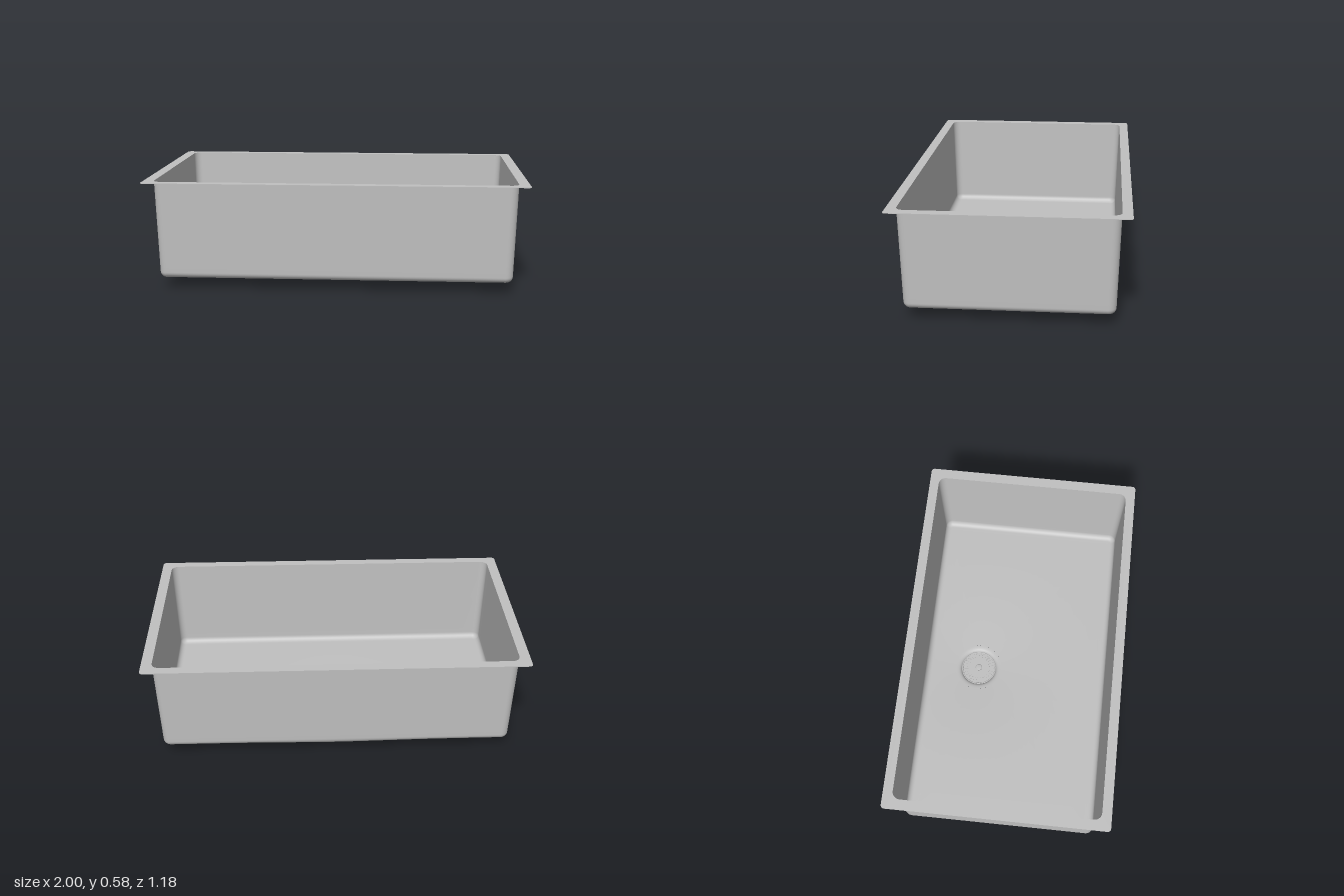
import * as THREE from 'three';

const TOP = 0.578, FLOOR = 0.058, DRAIN_Z = -0.22, DRAIN_R = 0.135;

// Rounded rectangle outline, with straight edges split into equal steps
function outline(hx, hz, r, edgeSteps = 14, arcSteps = 8) {
  const corners = [[1, 1], [-1, 1], [-1, -1], [1, -1]];
  const arcs = corners.map(([sx, sz], k) => Array.from({ length: arcSteps + 1 }, (_, i) => {
    const a = (k + i / arcSteps) * Math.PI / 2;
    return new THREE.Vector2(sx * (hx - r) + r * Math.cos(a), sz * (hz - r) + r * Math.sin(a));
  }));
  const pts = [];
  arcs.forEach((arc, k) => {
    pts.push(...arc);
    const a = arc[arcSteps], b = arcs[(k + 1) % 4][0];
    for (let i = 1; i < edgeSteps; i++) pts.push(a.clone().lerp(b, i / edgeSteps));
  });
  return pts;
}

// Floor dips gently towards the drain
function floorY(x, z) {
  const d = Math.hypot(x, z - DRAIN_Z);
  const t = Math.max(0, 1 - (d - DRAIN_R) / 0.55);
  return FLOOR - 0.017 * t * t;
}

// Join closed rings of equal length into a smooth surface
function loft(rings) {
  const n = rings[0].length, index = [];
  for (let j = 0; j < rings.length - 1; j++) {
    for (let i = 0; i < n; i++) {
      const a = j * n + i, b = j * n + (i + 1) % n;
      index.push(a, b, a + n, b, b + n, a + n);
    }
  }
  const g = new THREE.BufferGeometry();
  g.setAttribute('position', new THREE.Float32BufferAttribute(rings.flat(2), 3));
  g.setIndex(index);
  g.computeVertexNormals();
  return g;
}

function basinGeometry() {
  const rings = [];
  const R = 0.032, yF = FLOOR + R;
  // tapered walls
  for (const t of [0, 0.5, 0.95, 1]) {
    const y = THREE.MathUtils.lerp(TOP, yF, t);
    rings.push(outline(0.945 - 0.014 * t, 0.541 - 0.014 * t, 0.04).map(p => [p.x, y, p.y]));
  }
  // rounded bottom edge
  let last;
  for (let i = 1; i <= 8; i++) {
    const a = i / 8 * Math.PI / 2, inset = R * (1 - Math.cos(a));
    last = outline(0.931 - inset, 0.527 - inset, 0.04 - inset);
    rings.push(last.map(p => {
      const low = floorY(p.x, p.y);
      return [p.x, yF - (yF - low) * Math.sin(a), p.y];
    }));
  }
  // floor closing in on the drain circle
  for (const t of [0.03, 0.15, 0.3, 0.45, 0.6, 0.72, 0.82, 0.9, 0.96, 1]) {
    rings.push(last.map(p => {
      const dx = p.x, dz = p.y - DRAIN_Z, d = Math.hypot(dx, dz);
      const s = THREE.MathUtils.lerp(d, DRAIN_R, t) / d;
      const x = dx * s, z = DRAIN_Z + dz * s;
      return [x, floorY(x, z), z];
    }));
  }
  return loft(rings);
}

export function createModel() {
  const steel = new THREE.MeshStandardMaterial({ color: 0xc0c0c0, side: THREE.DoubleSide });
  steel.name = 'brushed steel';
  const model = new THREE.Group();
  model.name = 'sink';
  const add = (name, geometry, parent = model) => {
    const m = new THREE.Mesh(geometry, steel);
    m.name = name;
    parent.add(m);
    return m;
  };

  // Flat mounting flange
  const rim = new THREE.Shape(outline(1, 0.592, 0.018));
  rim.holes.push(new THREE.Path(outline(0.945, 0.541, 0.04)));
  const rimGeo = new THREE.ExtrudeGeometry(rim, { depth: 0.003, bevelEnabled: false });
  add('flange', rimGeo.rotateX(Math.PI / 2).translate(0, TOP + 0.001, 0));

  add('basin', basinGeometry());

  // Drain assembly
  const drain = new THREE.Group();
  drain.name = 'drain';
  drain.position.z = DRAIN_Z;
  model.add(drain);
  const lathe = pts => new THREE.LatheGeometry(pts.map(p => new THREE.Vector2(...p)), 48);

  add('drainFlare', lathe([[0.1, 0.018], [0.101, 0.024], [0.104, 0.030], [0.110, 0.036],
    [0.118, 0.039], [0.127, 0.0405], [DRAIN_R, 0.041]]), drain);
  add('drainTube', lathe([[0.1, 0], [0.1, 0.018]]), drain);
  add('drainBase', new THREE.CircleGeometry(0.1, 48).rotateX(Math.PI / 2), drain);

  // Strainer plate with a ring of radial slots
  const plate = new THREE.Shape().absarc(0, 0, 0.1, 0, Math.PI * 2);
  const slots = 28;
  for (let i = 0; i < slots; i++) {
    const a = i / slots * Math.PI * 2, slot = new THREE.Path();
    const c = Math.cos(a), s = Math.sin(a);
    slot.absarc(0.085 * c, 0.085 * s, 0.005, a - Math.PI / 2, a + Math.PI / 2);
    slot.absarc(0.066 * c, 0.066 * s, 0.004, a + Math.PI / 2, a + Math.PI * 1.5);
    plate.holes.push(slot);
  }
  const plateGeo = new THREE.ExtrudeGeometry(plate, { depth: 0.004, bevelEnabled: false, curveSegments: 8 });
  add('strainerPlate', plateGeo.rotateX(-Math.PI / 2).translate(0, 0.018, 0), drain);

  // Strainer rim and centre knob
  add('strainerRim', new THREE.TorusGeometry(0.098, 0.004, 8, 48)
    .rotateX(Math.PI / 2).translate(0, 0.023, 0), drain);
  add('strainerKnob', lathe([[0.012, 0.022], [0.012, 0.03], [0.019, 0.032],
    [0.019, 0.037], [0.015, 0.039], [0, 0.039]]), drain);

  return model;
}
